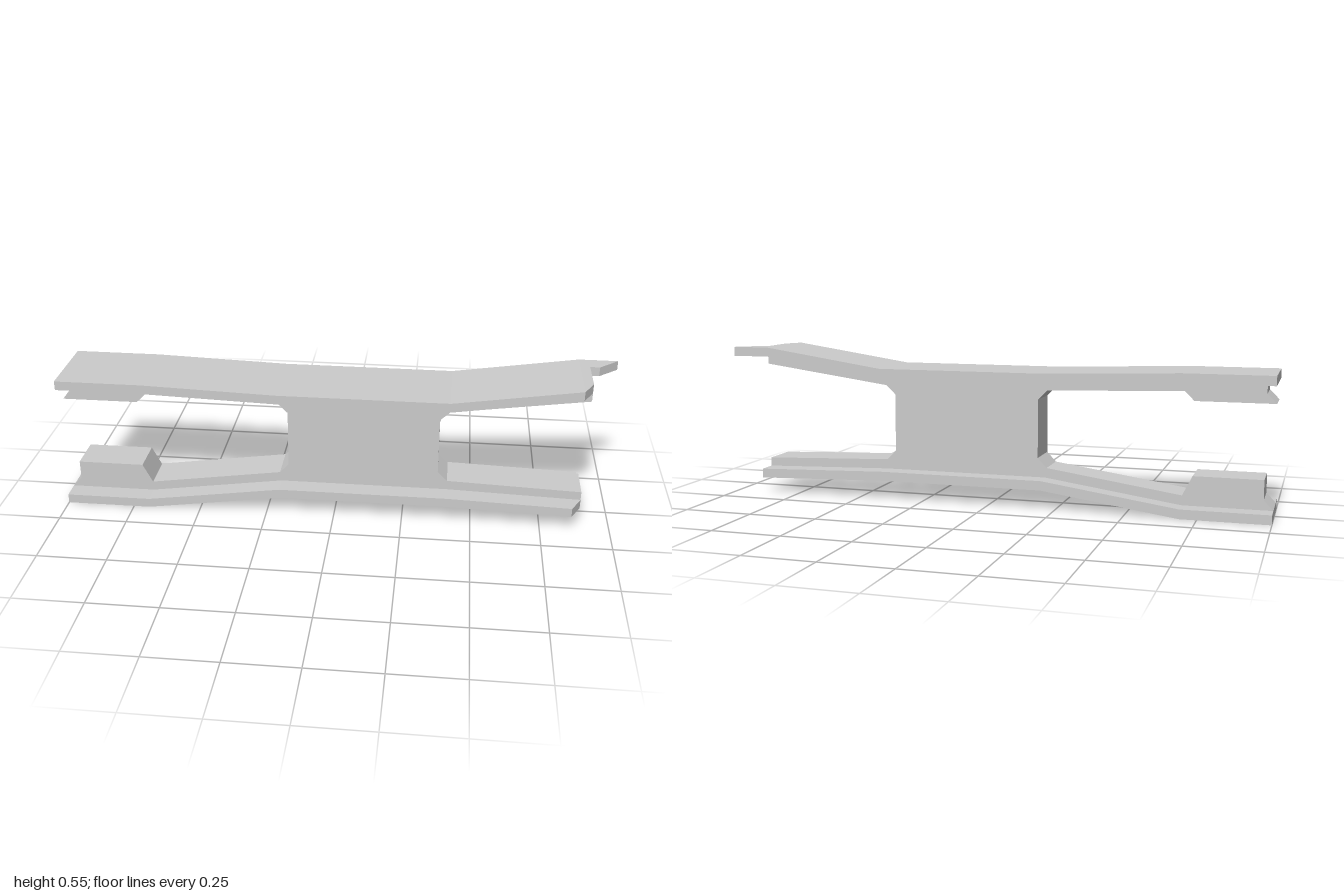
import * as THREE from 'three';

const HALF = 0.138;      // half depth of the flanges
const WEB = 0.069;       // half depth of the web
const THICK = 0.034;     // flange thickness

const shapeOf = (pts) => new THREE.Shape(pts.map(([x, y]) => new THREE.Vector2(x, y)));

// Side outline (x, y) extruded symmetrically about z = 0
function sideExtrude(pts, half) {
  const geo = new THREE.ExtrudeGeometry(shapeOf(pts), { depth: 2 * half, bevelEnabled: false });
  return geo.translate(0, 0, -half);
}

// Plan outline (x, z) extruded upward, its height following a slope along x
function planExtrude(pts, y, x0, slope) {
  const geo = new THREE.ExtrudeGeometry(shapeOf(pts.map(([x, z]) => [x, -z])), { depth: THICK, bevelEnabled: false });
  geo.rotateX(-Math.PI / 2);
  const p = geo.attributes.position;
  for (let i = 0; i < p.count; i++) p.setY(i, p.getY(i) + y + (p.getX(i) - x0) * slope);
  geo.computeVertexNormals();
  return geo;
}

// A bent plate from its underside line
function plate(line) {
  const upper = line.map(([x, y]) => [x, y + THICK]).reverse();
  return sideExtrude([...line, ...upper], HALF);
}

export function createModel() {
  const model = new THREE.Group();
  const material = new THREE.MeshStandardMaterial({ color: 0xcccccc, flatShading: true });
  const add = (name, geo) => {
    const mesh = new THREE.Mesh(geo, material);
    mesh.name = name;
    model.add(mesh);
  };

  // Underside lines of the two flanges
  const upperLine = [[-1, 0.467], [-0.69, 0.467], [-0.2, 0.451], [0.41, 0.451], [0.86, 0.518]];
  const lowerLine = [[-1, 0], [-0.69, 0], [-0.2, 0.07], [0.41, 0.07], [0.86, 0.056]];
  add('upperFlange', plate(upperLine));
  add('lowerFlange', plate(lowerLine));

  // Cut ends of the flanges: the upper one carries a pointed rear corner
  add('upperFlangeTip', planExtrude(
    [[0.86, HALF], [0.895, WEB], [0.895, -0.075], [0.93, -0.075], [1, -HALF], [0.86, -HALF]],
    0.518, 0.86, 0));
  add('lowerFlangeTip', planExtrude(
    [[0.86, HALF], [0.895, WEB], [0.895, -HALF], [0.86, -HALF]],
    0.056, 0.86, -0.031));

  // Web with the ribs and the end blocks on the left
  const web = [
    // lower edge, along the top of the lower flange
    ...lowerLine.map(([x, y]) => [x, y + THICK]), [0.895, 0.089],
    // right opening
    [0.895, 0.121], [0.41, 0.139], [0.375, 0.174], [0.375, 0.385], [0.41, 0.418], [0.895, 0.485],
    // upper edge, along the underside of the upper flange
    [0.895, 0.518], [0.86, 0.518], [0.41, 0.451], [-0.2, 0.451], [-0.69, 0.467], [-0.967, 0.467],
    // left opening and end blocks
    [-0.967, 0.434], [-1, 0.4], [-0.725, 0.4], [-0.69, 0.434], [-0.205, 0.418], [-0.172, 0.385],
    [-0.172, 0.174], [-0.205, 0.139], [-0.69, 0.069], [-0.725, 0.139], [-0.967, 0.139], [-0.967, 0.069],
  ];
  add('web', sideExtrude(web, WEB));

  return model;
}
